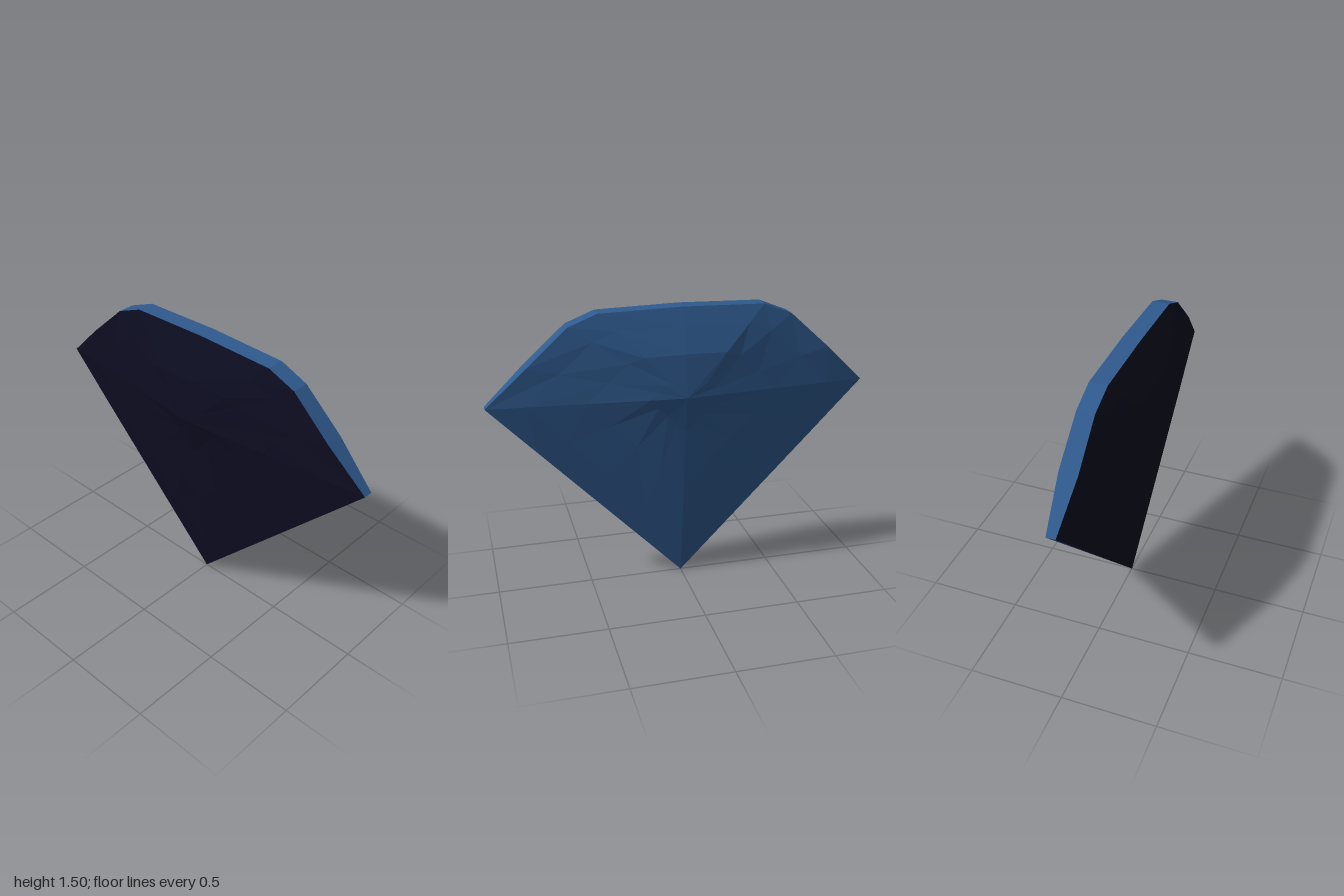
import * as THREE from 'three';

// Right half of the outline, top to bottom tip: x, y, rim half-thickness,
// then depths of the inner, middle and outer rings on that spoke
const SPOKES = [
  [0, 1.5, 0.047, 0.133, 0.122, 0.078],
  [0.43, 1.49, 0.046, 0.13, 0.115, 0.074],
  [0.58, 1.43, 0.045, 0.128, 0.1, 0.068],
  [0.79, 1.24, 0.047, 0.122, 0.088, 0.06],
  [1, 1.04, 0.024, 0.12, 0.08, 0.048],
  [0.75, 0.78, 0.02, 0.11, 0.077, 0.044],
  [0.5, 0.52, 0.014, 0.104, 0.077, 0.04],
  [0.25, 0.26, 0.008, 0.1, 0.075, 0.036],
  [0, 0, 0.002, 0.097, 0.07, 0.03],
];
const RINGS = [0.19, 0.5, 0.8];
const PEAK = [0, 1.05, 0.14];

export function createModel() {
  const group = new THREE.Group();
  group.name = 'facetedBlade';
  const darkNavy = new THREE.MeshStandardMaterial({ name: 'dark navy', color: 0x0d0d22, flatShading: true });
  const steelBlue = new THREE.MeshStandardMaterial({ name: 'steel blue', color: 0x2f5a8e, flatShading: true });

  // Mirror the half outline into a closed loop
  const loop = [...SPOKES, ...SPOKES.slice(1, -1).reverse().map(([x, ...rest]) => [-x, ...rest])];
  const n = loop.length;

  // Ring k of the face on side s (+1 front, -1 back); the last ring is the rim edge
  const ringPoint = (i, k, s) => {
    const p = loop[i % n];
    if (k === RINGS.length) return [p[0], p[1], s * p[2]];
    return [p[0] * RINGS[k], PEAK[1] + (p[1] - PEAK[1]) * RINGS[k], s * p[3 + k]];
  };

  const addMesh = (name, triangles, material) => {
    const geometry = new THREE.BufferGeometry();
    geometry.setAttribute('position', new THREE.Float32BufferAttribute(triangles.flat(2), 3));
    geometry.computeVertexNormals();
    const mesh = new THREE.Mesh(geometry, material);
    mesh.name = name;
    group.add(mesh);
  };

  // Faceted face: a fan around the peak, then rings out to the rim
  const face = (s) => {
    const triangles = [];
    const add = (a, b, c) => triangles.push(s > 0 ? [a, b, c] : [a, c, b]);
    const peak = [PEAK[0], PEAK[1], s * PEAK[2]];
    for (let i = 0; i < n; i++) {
      add(peak, ringPoint(i + 1, 0, s), ringPoint(i, 0, s));
      for (let k = 0; k < RINGS.length; k++) {
        const a = ringPoint(i + 1, k + 1, s), b = ringPoint(i, k + 1, s);
        const c = ringPoint(i, k, s), d = ringPoint(i + 1, k, s);
        add(a, b, c);
        add(a, c, d);
      }
    }
    return triangles;
  };
  addMesh('frontFace', face(1), darkNavy);
  addMesh('backFace', face(-1), steelBlue);

  // Rim joining the two faces
  const rim = [];
  const edge = RINGS.length;
  for (let i = 0; i < n; i++) {
    const a = ringPoint(i, edge, 1), b = ringPoint(i + 1, edge, 1);
    const c = ringPoint(i + 1, edge, -1), d = ringPoint(i, edge, -1);
    rim.push([a, b, c], [a, c, d]);
  }
  addMesh('rim', rim, steelBlue);

  return group;
}
